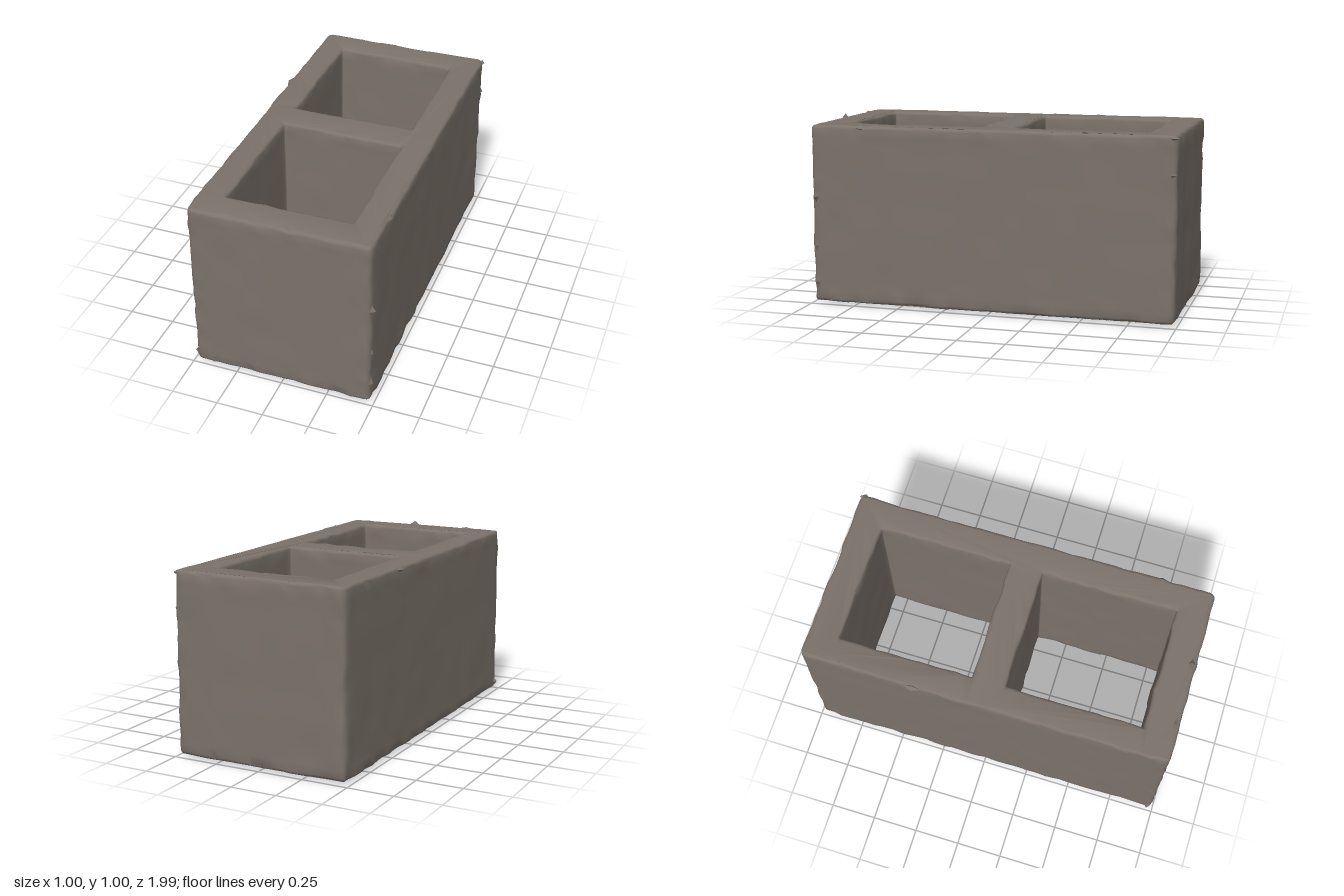
import * as THREE from 'three';
import { toCreasedNormals } from 'three/addons/utils/BufferGeometryUtils.js';

const BOTTOM = 0.013, TOP = 0.977, HALF_X = 0.482, HALF_Z = 0.988, BEVEL = 0.018;

// Repeatable smooth noise in -1..1, so coincident vertices move together
function hash(i, j, k) {
  const s = Math.sin(i * 127.1 + j * 311.7 + k * 74.7) * 43758.5453;
  return (s - Math.floor(s)) * 2 - 1;
}
function noise(x, y, z) {
  const c = [x, y, z].map(Math.floor);
  const f = [x, y, z].map((v, i) => { const t = v - c[i]; return t * t * (3 - 2 * t); });
  let sum = 0;
  for (let n = 0; n < 8; n++) {
    const b = [n & 1, (n >> 1) & 1, n >> 2];
    const w = b.reduce((p, on, i) => p * (on ? f[i] : 1 - f[i]), 1);
    sum += w * hash(c[0] + b[0], c[1] + b[1], c[2] + b[2]);
  }
  return sum;
}

// Subdivided rectangle with rounded corners, counter-clockwise
function rectPoints(x0, x1, y0, y1, r, step = 0.04) {
  const corners = [[x1 - r, y0 + r, -90], [x1 - r, y1 - r, 0], [x0 + r, y1 - r, 90], [x0 + r, y0 + r, 180]];
  const pts = [];
  for (const [cx, cy, start] of corners) {
    for (let i = 0; i <= 3; i++) {
      const a = THREE.MathUtils.degToRad(start + i * 30);
      pts.push(new THREE.Vector2(cx + r * Math.cos(a), cy + r * Math.sin(a)));
    }
  }
  const out = [];
  pts.forEach((p, i) => {
    const q = pts[(i + 1) % pts.length];
    const n = Math.max(1, Math.round(p.distanceTo(q) / step));
    for (let k = 0; k < n; k++) out.push(p.clone().lerp(q, k / n));
  });
  return out;
}

// Two-celled block with worn edges
function blockGeometry() {
  const shape = new THREE.Shape(rectPoints(-HALF_X, HALF_X, -HALF_Z, HALF_Z, 0.026));
  for (const [z0, z1] of [[-0.82, -0.10], [0.08, 0.815]]) {
    shape.holes.push(new THREE.Path(rectPoints(-0.335, 0.325, -z1, -z0, 0.005).reverse()));
  }
  const geo = new THREE.ExtrudeGeometry(shape, {
    depth: TOP - BOTTOM - 2 * BEVEL, steps: 22, bevelEnabled: true,
    bevelThickness: BEVEL, bevelSize: BEVEL, bevelOffset: -BEVEL, bevelSegments: 3,
  });
  geo.rotateX(-Math.PI / 2).translate(0, BOTTOM + BEVEL, 0);
  const pos = geo.attributes.position;
  for (let i = 0; i < pos.count; i++) {
    const [x, y, z] = [pos.getX(i), pos.getY(i), pos.getZ(i)];
    const rim = Math.min(y - BOTTOM, TOP - y) < BEVEL + 0.004;
    const corner = Math.abs(x) > HALF_X - 0.03 && Math.abs(z) > HALF_Z - 0.03;
    const amount = rim || corner ? 0.008 : 0.0025;
    const f = rim || corner ? 16 : 7;
    pos.setXYZ(i,
      x + amount * noise(x * f, y * f, z * f),
      y + (rim ? 0.004 : 0) * noise(x * f + 40, y * f, z * f),
      z + amount * noise(x * f, y * f + 80, z * f));
  }
  return toCreasedNormals(geo, 0.75);
}

export function createModel() {
  const group = new THREE.Group();
  group.name = 'hollowBlock';
  const concrete = new THREE.MeshStandardMaterial({ color: 0x7b726a });
  concrete.name = 'concrete';

  const block = new THREE.Mesh(blockGeometry(), concrete);
  block.name = 'block';
  group.add(block);

  // Small burrs along the edges: position and size
  const burrs = [
    [0.06, 0.975, 0.965, 0.035, 0.025, 0.02], [0.475, 0.59, 0.965, 0.025, 0.04, 0.02],
    [0.475, 0.32, 0.965, 0.015, 0.05, 0.02], [0.475, 0.12, 0.965, 0.016, 0.05, 0.02],
    [0.475, 0.78, -0.965, 0.018, 0.03, 0.02], [-0.478, 0.05, 0.965, 0.022, 0.03, 0.02],
    [-0.48, 0.965, -0.38, 0.02, 0.015, 0.05], [0.475, 0.965, 0.7, 0.015, 0.015, 0.05],
    [0.475, 0.965, -0.965, 0.02, 0.012, 0.03], [-0.39, 0.015, 0.965, 0.045, 0.015, 0.02],
    [0.445, 0.018, 0.965, 0.025, 0.012, 0.02], [-0.28, 0.972, 0.965, 0.06, 0.013, 0.015],
  ];
  const burrGeo = new THREE.OctahedronGeometry(1);
  burrs.forEach(([x, y, z, sx, sy, sz]) => {
    const burr = new THREE.Mesh(burrGeo, concrete);
    burr.name = 'edgeBurr';
    burr.position.set(x, y, z);
    burr.scale.set(sx, sy, sz);
    group.add(burr);
  });
  return group;
}
